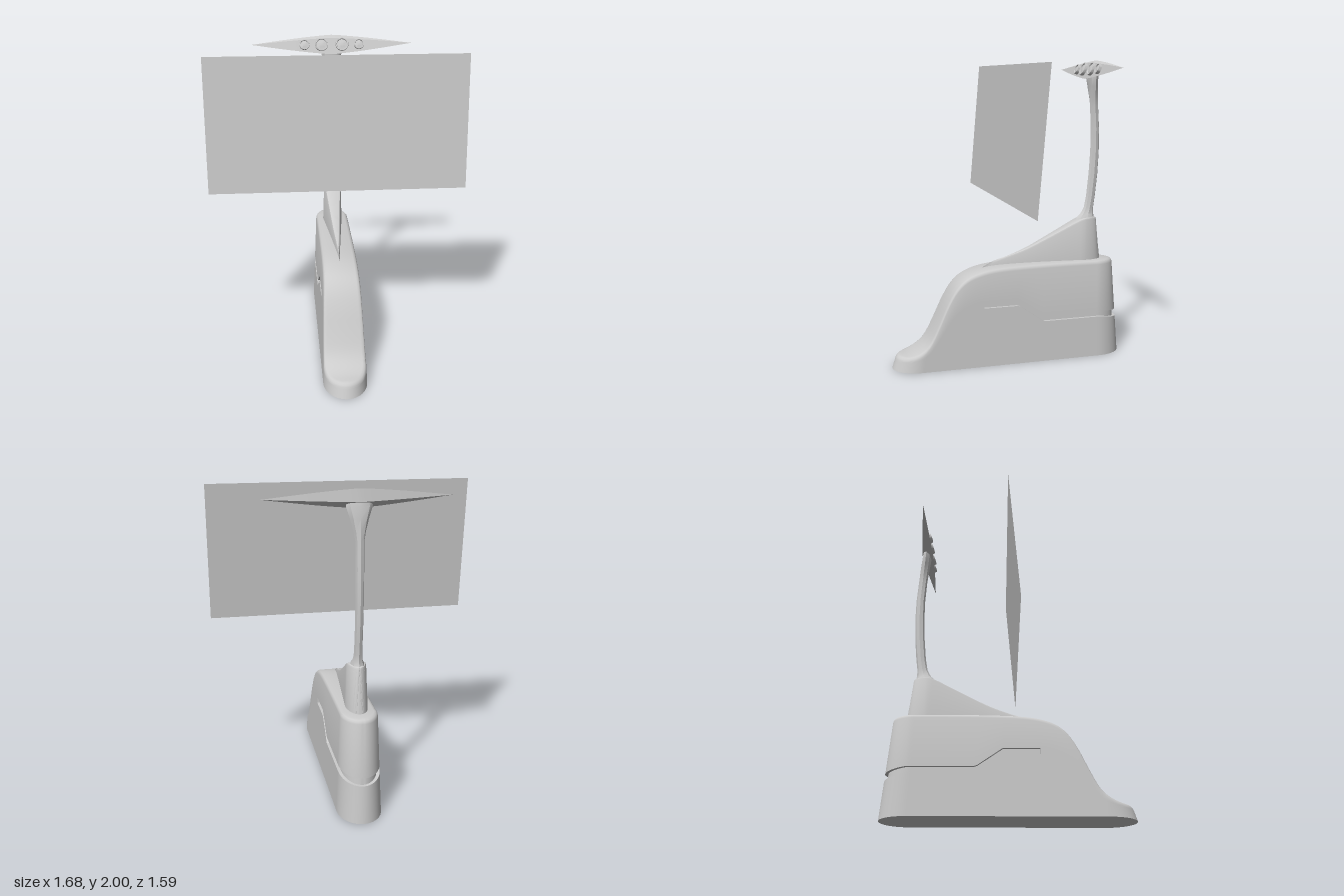
import * as THREE from 'three';
import { toCreasedNormals } from 'three/addons/utils/BufferGeometryUtils.js';

const grey = new THREE.MeshStandardMaterial({ color: 0xcccccc });
const thin = new THREE.MeshStandardMaterial({ color: 0xcccccc, side: THREE.DoubleSide });

function part(name, geometry, material = grey) {
  const mesh = new THREE.Mesh(geometry, material);
  mesh.name = name;
  return mesh;
}

// Skin closed rings of [x, y, z]; the ends are capped by strips joining point i with point m - i
function skin(rings, crease = 0.55) {
  const m = rings[0].length, idx = [], top = (rings.length - 1) * m;
  for (let r = 0; r < rings.length - 1; r++) {
    for (let i = 0; i < m; i++) {
      const a = r * m + i, b = r * m + (i + 1) % m;
      idx.push(a, b, b + m, a, b + m, a + m);
    }
  }
  for (let i = 0; i < m / 2; i++) {
    const a = i, b = i + 1, c = (m - i - 1) % m, d = (m - i) % m;
    if (b !== c) idx.push(top + a, top + b, top + c, c, b, a);
    if (a !== d) idx.push(top + a, top + c, top + d, d, c, a);
  }
  const g = new THREE.BufferGeometry();
  g.setAttribute('position', new THREE.Float32BufferAttribute(rings.flat(2), 3));
  g.setIndex(idx);
  return toCreasedNormals(g, crease);
}

// Height as a function of z from a smooth spline through [z, y] points (z falling)
function profile(points) {
  const pts = new THREE.SplineCurve(points.map(p => new THREE.Vector2(...p))).getPoints(240);
  return z => {
    const i = pts.findIndex(p => p.x <= z);
    if (i === 0) return pts[0].y;
    if (i < 0) return pts[pts.length - 1].y;
    const a = pts[i - 1], b = pts[i];
    return THREE.MathUtils.lerp(a.y, b.y, (a.x - z) / (a.x - b.x || 1));
  };
}

// Piecewise linear path through [z, y] points (z falling)
function polyline(points, z) {
  for (let i = 1; i < points.length; i++) {
    const [z0, y0] = points[i - 1], [z1, y1] = points[i];
    if (z >= z1) return y0 + (y1 - y0) * THREE.MathUtils.clamp((z0 - z) / (z0 - z1), 0, 1);
  }
  return points[points.length - 1][1];
}

// Wall from half-outline columns {x, z, nx, nz}, mirrored in x; rows(column) gives [y, inset] pairs
function walled(half, rows, taper) {
  const columns = half.map(c => rows(c).map(([y, inset]) => {
    const d = inset + taper(y, c.nz);
    return [Math.max(0, c.x - d * c.nx), y, c.z - d * c.nz];
  }));
  const mirrored = columns.slice(1, -1).reverse().map(col => col.map(([x, y, z]) => [-x, y, z]));
  const loop = [...columns, ...mirrored];
  return skin(loop[0].map((_, r) => loop.map(col => col[r])));
}

// Quarter ellipse of outline columns, from angle a0 to a1 (0 = side, +90 degrees = front)
function arc(rx, rz, cz, a0, a1, steps) {
  return Array.from({ length: steps + 1 }, (_, i) => {
    const a = a0 + (a1 - a0) * i / steps;
    const n = new THREE.Vector2(Math.cos(a) / rx, Math.sin(a) / rz).normalize();
    const x = i === steps && a1 < 0 || i === 0 && a0 > 0 ? 0 : rx * Math.cos(a);
    return { x, z: cz + rz * Math.sin(a), nx: n.x, nz: n.y };
  });
}

function body() {
  const height = profile([[0.8, 0.095], [0.7, 0.1], [0.62, 0.128], [0.56, 0.185], [0.5, 0.3], [0.44, 0.43],
    [0.38, 0.53], [0.31, 0.595], [0.22, 0.632], [0.1, 0.653], [-0.1, 0.662], [-0.4, 0.665], [-0.8, 0.662]]);
  const upper = [[0.2, 0.435], [-0.03, 0.435], [-0.2, 0.315], [-0.62, 0.315], [-0.79, 0.295]];
  const lower = [[0.2, 0.395], [-0.04, 0.395], [-0.21, 0.275], [-0.62, 0.275], [-0.79, 0.245]];
  const sides = [];
  for (let i = 1; i < 62; i++) {
    const z = 0.61 - i * 0.02;
    sides.push({ x: 0.14, z, nx: 1, nz: 0 });
  }
  // doubled column where the groove starts
  for (const z of [0.2, 0.2001]) sides.push({ x: 0.14, z, nx: 1, nz: 0 });
  sides.sort((a, b) => b.z - a.z);
  const half = [...arc(0.14, 0.185, 0.61, Math.PI / 2, 0, 14), ...sides, ...arc(0.14, 0.18, -0.61, 0, -Math.PI / 2, 14)];
  const rows = ({ z }) => {
    const h = height(z), groove = z <= 0.2 ? 0.02 : 0;
    const lo = Math.min(polyline(lower, z), h * 0.62), hi = Math.min(polyline(upper, z), h * 0.69);
    return [[0, 0], [lo, 0], [lo, groove], [hi, groove], [hi, 0],
      [h - 0.026, 0], [h - 0.014, 0.003], [h - 0.005, 0.01], [h, 0.024]];
  };
  return walled(half, rows, (y, nz) => y * (0.038 + (nz > 0 ? 0.28 * nz : -0.045 * nz)));
}

function fin() {
  const height = profile([[0.18, 0.647], [0.1, 0.685], [0, 0.715], [-0.12, 0.758], [-0.25, 0.82],
    [-0.38, 0.885], [-0.47, 0.93], [-0.53, 0.95], [-0.66, 0.95]]);
  const half = [];
  for (let i = 0; i < 24; i++) half.push({ x: 0.07 * i / 24, z: 0.18 - 0.7 * i / 24, nx: 0.995, nz: 0.1 });
  half.push(...arc(0.07, 0.138, -0.52, 0, -Math.PI / 2, 12));
  const rows = ({ z }) => {
    const h = height(z);
    return [[0.6, 0], [h - 0.014, 0], [h - 0.004, 0.004], [h, 0.012]];
  };
  return walled(half, rows, (y, nz) => (y - 0.6) * (0.03 + Math.max(0, -nz) * 0.1));
}

// Eight-sided mast flaring at the foot and under the head: [y, z, half width, half depth]
function mast() {
  const sections = [[0.92, -0.545, 0.05, 0.075], [0.95, -0.545, 0.043, 0.062], [0.975, -0.555, 0.031, 0.046],
    [1.02, -0.567, 0.026, 0.034], [1.1, -0.58, 0.025, 0.032], [1.25, -0.595, 0.025, 0.032], [1.4, -0.603, 0.025, 0.031],
    [1.55, -0.603, 0.025, 0.03], [1.7, -0.594, 0.026, 0.029], [1.76, -0.589, 0.036, 0.03],
    [1.83, -0.582, 0.055, 0.032], [1.9, -0.575, 0.078, 0.032], [1.93, -0.575, 0.07, 0.025]];
  return skin(sections.map(([y, z, w, d]) => Array.from({ length: 8 }, (_, i) => {
    const a = i * Math.PI / 4;
    return [w * Math.sin(a), y, z + d * Math.cos(a)];
  })));
}

// Swept head: a four-sided section shrinking to a point at both ends
function head() {
  const section = [[2.0, -0.6], [1.985, -0.565], [1.88, -0.525], [1.925, -0.608]];
  const rings = [];
  for (let i = -16; i <= 16; i++) {
    const t = Math.abs(i) / 16, k = Math.max(0.01, 1 - Math.pow(t, 1.25));
    rings.push(section.map(([y, z]) => [0.55 * i / 16, 1.945 + (y - 1.945) * k, -0.556 + (z + 0.556) * k]));
  }
  return skin(rings, 0.4);
}

// Round lamp with a raised rim
function lamp(r) {
  const pts = [[r * 0.92, -0.02], [r, 0.002], [r * 0.96, 0.01], [r * 0.82, 0.01], [r * 0.76, 0.003], [r * 0.4, 0.007], [0, 0.008]];
  const g = new THREE.LatheGeometry(pts.map(p => new THREE.Vector2(...p)), 28);
  return toCreasedNormals(g.rotateX(Math.PI / 2), 0.6);
}

export function createModel() {
  const model = new THREE.Group();
  model.name = 'displayStand';
  model.add(part('base', body()), part('fin', fin()), part('mast', mast()), part('lampHead', head()));

  // Lamps mirrored across the head
  for (const side of [-1, 1]) {
    for (const [x, r] of [[0.07, 0.045], [0.187, 0.035]]) {
      const m = part('lamp', lamp(r));
      m.position.set(side * x, 1.944, -0.541);
      m.rotation.set(-0.4, 0, 0);
      model.add(m);
    }
  }

  // Thin screen leaning slightly back
  const screen = part('screen', new THREE.PlaneGeometry(1.68, 0.875), thin);
  screen.position.set(0, 1.535, 0.03);
  screen.rotation.x = -0.085;
  model.add(screen);
  return model;
}
